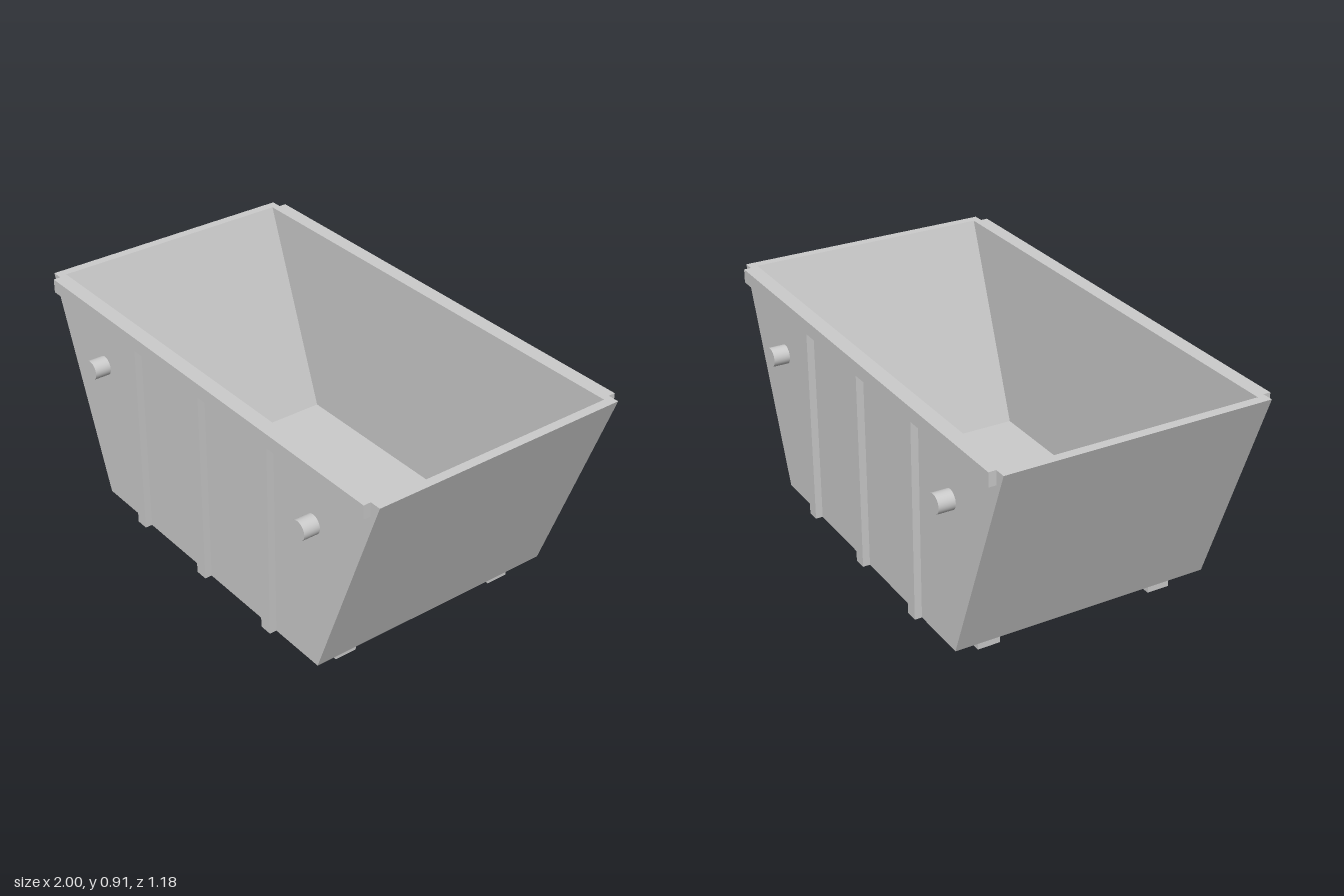
import * as THREE from 'three';

const material = new THREE.MeshStandardMaterial({ color: 0xcccccc });

// Open tub: rectangular rings from underside, up the outside, over the lip, down to the floor
function tubGeometry() {
  const rings = [ // half width, height, half depth
    [0.68, 0.06, 0.526],
    [1.0, 0.91, 0.526],
    [0.963, 0.91, 0.495],
    [0.658, 0.095, 0.495],
  ];
  const corners = rings.map(([x, y, z]) => [[-x, y, z], [x, y, z], [x, y, -z], [-x, y, -z]]);
  const positions = [];
  const quad = (a, b, c, d) => positions.push(...a, ...b, ...c, ...a, ...c, ...d);
  for (let r = 0; r < 3; r++) {
    for (let i = 0; i < 4; i++) {
      const j = (i + 1) % 4;
      quad(corners[r][i], corners[r][j], corners[r + 1][j], corners[r + 1][i]);
    }
  }
  quad(...corners[3]); // inner floor
  quad(...[...corners[0]].reverse()); // underside
  const geometry = new THREE.BufferGeometry();
  geometry.setAttribute('position', new THREE.Float32BufferAttribute(positions, 3));
  geometry.computeVertexNormals();
  return geometry;
}

export function createModel() {
  const group = new THREE.Group();

  const add = (name, geometry, x, y, z) => {
    const mesh = new THREE.Mesh(geometry, material);
    mesh.name = name;
    mesh.position.set(x, y, z);
    group.add(mesh);
    return mesh;
  };

  add('tub', tubGeometry(), 0, 0, 0);

  const wall = 0.526, depth = 0.029;
  const railGeometry = new THREE.BoxGeometry(1.91, 0.055, depth);
  const ribGeometry = new THREE.BoxGeometry(0.052, 0.795, depth);
  const skidGeometry = new THREE.BoxGeometry(1.27, 0.06, 0.091);
  const pinGeometry = new THREE.CylinderGeometry(0.038, 0.038, 0.065, 32).rotateX(Math.PI / 2);

  for (const [side, s] of [['front', 1], ['back', -1]]) {
    // Rim rail and vertical ribs, flush with each other
    add(`${side}RimRail`, railGeometry, 0, 0.8825, s * (wall + depth / 2));
    for (const x of [-0.41, 0, 0.41]) {
      add(`${side}Rib`, ribGeometry, x, 0.4575, s * (wall + depth / 2));
    }
    // Lifting pins
    for (const x of [-0.655, 0.655]) {
      add(`${side}LiftingPin`, pinGeometry, x, 0.657, s * (wall + 0.0325));
    }
    // Ground skid
    add(`${side}Skid`, skidGeometry, 0, 0.03, s * 0.3645);
  }
  return group;
}
